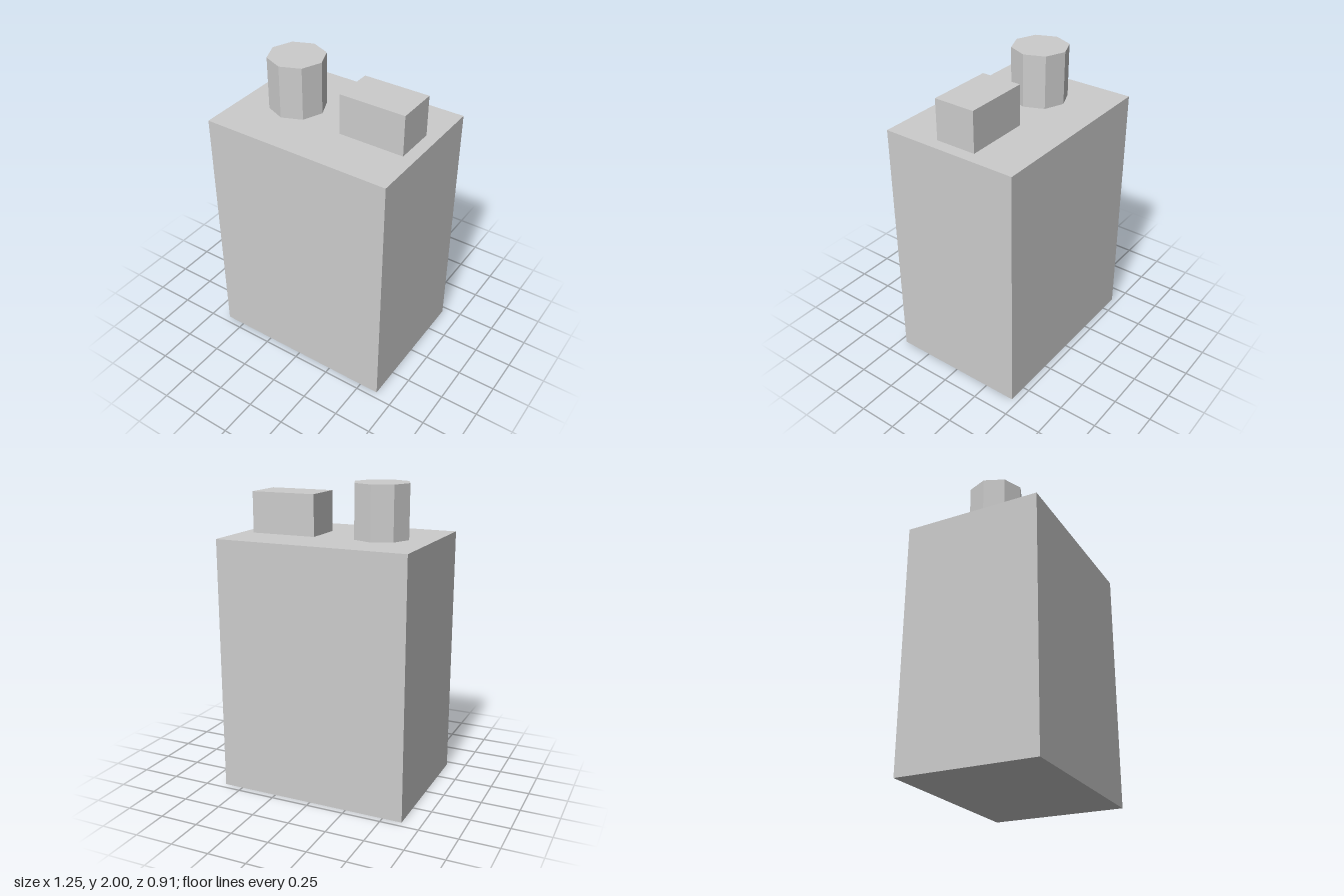
import * as THREE from 'three';

export function createModel() {
  const model = new THREE.Group();
  model.name = 'canister';
  const grey = new THREE.MeshStandardMaterial({ color: 0xcccccc, flatShading: true });
  grey.name = 'light grey';

  // Adds a part whose base sits at height y
  const add = (name, geometry, height, x, y) => {
    const mesh = new THREE.Mesh(geometry, grey);
    mesh.name = name;
    mesh.position.set(x, y + height / 2, 0);
    model.add(mesh);
  };

  const bodyTop = 1.656;
  const capHeight = 2 - bodyTop;
  const blockHeight = 0.265;

  // Tall rectangular body
  add('body', new THREE.BoxGeometry(1.254, bodyTop, 0.914), bodyTop, 0, 0);

  // Eight-sided cap with corners on the x and z axes
  add('cap', new THREE.CylinderGeometry(0.182, 0.182, capHeight, 8), capHeight, -0.287, bodyTop);

  // Rectangular block beside the cap
  add('topBlock', new THREE.BoxGeometry(0.434, blockHeight, 0.272), blockHeight, 0.33, bodyTop);

  return model;
}
